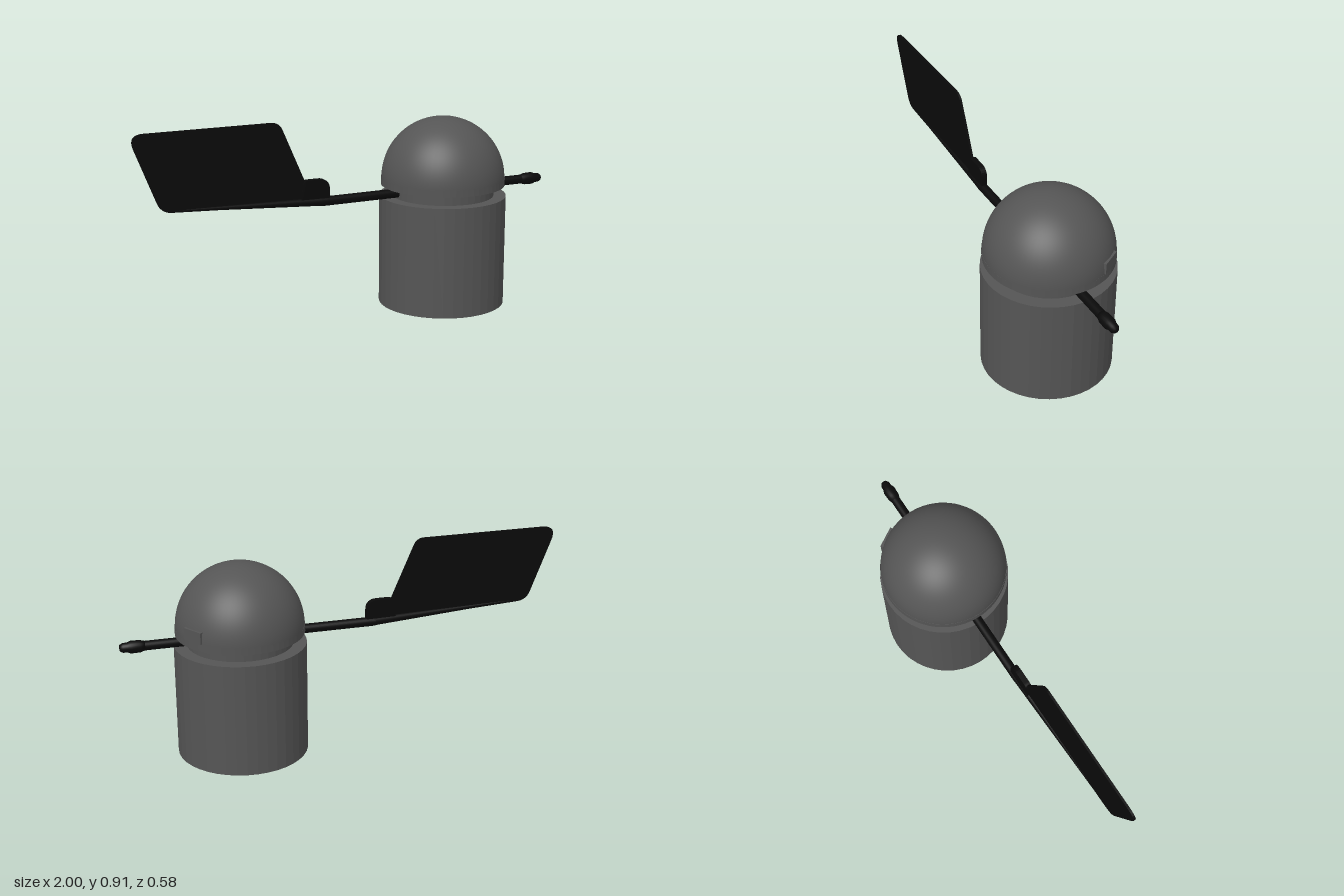
import * as THREE from 'three';

const CX = 0.467; // axis of the housing
const ROD_Y = 0.538;

// Polygon shape with rounded corners; each point is [x, y, radius]
function roundedShape(pts) {
  const s = new THREE.Shape();
  const n = pts.length;
  for (let i = 0; i < n; i++) {
    const p = new THREE.Vector2(pts[i][0], pts[i][1]);
    const toward = (q) => p.clone().add(
      new THREE.Vector2(q[0], q[1]).sub(p).setLength(pts[i][2]));
    const a = toward(pts[(i + n - 1) % n]);
    const b = toward(pts[(i + 1) % n]);
    if (i === 0) s.moveTo(a.x, a.y); else s.lineTo(a.x, a.y);
    s.quadraticCurveTo(p.x, p.y, b.x, b.y);
  }
  s.closePath();
  return s;
}

export function createModel() {
  const model = new THREE.Group();
  const grey = { color: 0x555555, side: THREE.DoubleSide };
  const flatGrey = new THREE.MeshStandardMaterial({ ...grey, flatShading: true });
  const smoothGrey = new THREE.MeshStandardMaterial(grey);
  const black = new THREE.MeshStandardMaterial({ color: 0x0a0a0a });

  const add = (name, geometry, material, x = 0, y = 0, z = 0) => {
    const mesh = new THREE.Mesh(geometry, material);
    mesh.name = name;
    mesh.position.set(x, y, z);
    model.add(mesh);
    return mesh;
  };
  const lathe = (pts, seg) =>
    new THREE.LatheGeometry(pts.map(([r, y]) => new THREE.Vector2(r, y)), seg);
  const plate = (pts, depth) => {
    const g = new THREE.ExtrudeGeometry(roundedShape(pts),
      { depth, bevelEnabled: false, curveSegments: 8 });
    return g.translate(0, 0, -depth / 2);
  };

  // Housing, open underneath, with a shelf and a narrower turning neck
  add('base', lathe([[0.292, 0], [0.292, 0.51], [0.235, 0.51]], 40), flatGrey, CX);
  add('neck', lathe([[0.235, 0.51], [0.235, 0.56]], 40), flatGrey, CX);

  // Cap: underside ring, short rim and hemisphere
  add('capRim', lathe([[0.235, 0.56], [0.285, 0.56], [0.285, 0.592]], 64), flatGrey, CX);
  add('dome', new THREE.SphereGeometry(0.283, 64, 24, 0, Math.PI * 2, 0, Math.PI / 2),
    smoothGrey, CX, 0.59);

  // Small raised block on the side of the dome
  const a = 0.575;
  const block = add('domeBlock', new THREE.BoxGeometry(0.05, 0.052, 0.1), flatGrey,
    CX + 0.261 * Math.cos(a), 0.62, -0.261 * Math.sin(a));
  block.rotation.y = a;

  // Horizontal rod through the neck
  const rod = add('rod', new THREE.CylinderGeometry(0.021, 0.021, 1.1, 24), black, 0.4, ROD_Y);
  rod.rotation.z = Math.PI / 2;

  // Bulged counterweight tip
  const tip = add('rodTip', lathe([[0, 0], [0.021, 0], [0.027, 0.02], [0.028, 0.06],
    [0.022, 0.075], [0.021, 0.095], [0.014, 0.107], [0, 0.11]], 24), black, 0.888, ROD_Y);
  tip.rotation.z = -Math.PI / 2;

  // Tapered spar along the foot of the tail
  const from = new THREE.Vector3(-0.12, ROD_Y, 0);
  const to = new THREE.Vector3(-0.86, 0.57, 0);
  const dir = to.clone().sub(from);
  const mid = from.clone().add(to).multiplyScalar(0.5);
  const spar = add('tailSpar', new THREE.CylinderGeometry(0.004, 0.021, dir.length(), 20),
    black, mid.x, mid.y, 0);
  spar.quaternion.setFromUnitVectors(new THREE.Vector3(0, 1, 0), dir.normalize());

  // Thin swept tail fin and its thicker mounting lug
  add('tailFin', plate([
    [-1.02, 0.91, 0.07], [-0.345, 0.91, 0.035], [-0.215, 0.61, 0.03],
    [-0.12, 0.57, 0.02], [-0.12, 0.525, 0.005], [-0.885, 0.565, 0.045]], 0.01), black);
  add('tailLug', plate([
    [-0.235, 0.642, 0.02], [-0.11, 0.642, 0.05], [-0.11, 0.52, 0.005],
    [-0.25, 0.53, 0.005]], 0.026), black);

  return model;
}
